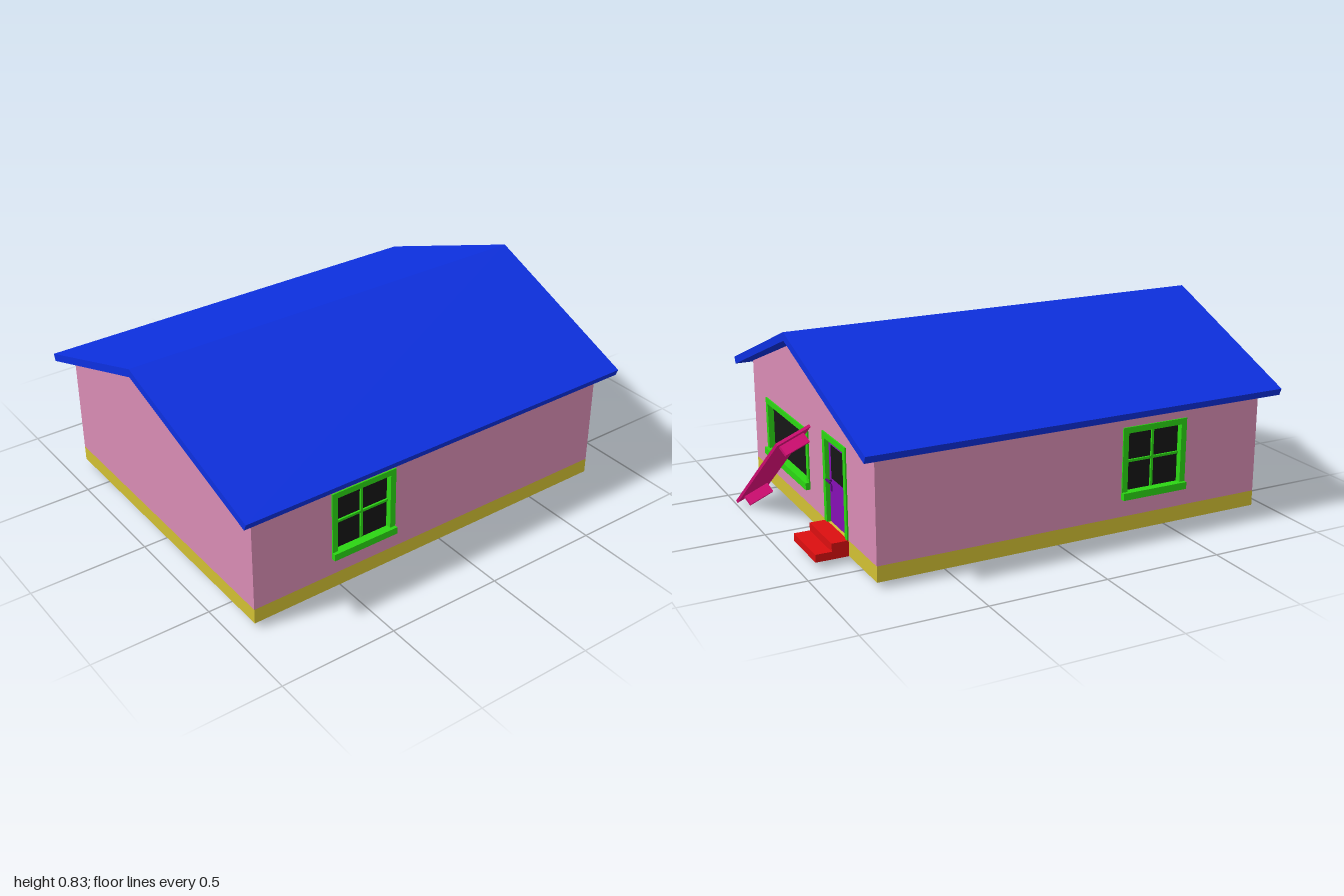
import * as THREE from 'three';

const mat = (color) => new THREE.MeshStandardMaterial({ color, flatShading: true });
const M = {
  wall: mat(0xd98cb4), base: mat(0xd2c033), roof: mat(0x0d30e0), trim: mat(0x2bd513),
  glass: mat(0x161616), door: mat(0x860fb4), handle: mat(0x5c0c80), step: mat(0xdb0f10), bench: mat(0xe60f7e),
};
const HALF_L = 0.855, HALF_D = 0.685, THICK = 0.04;
const BASE_TOP = 0.085, EAVE = 0.533, APEX = 0.79;

function add(parent, name, geometry, material) {
  const mesh = new THREE.Mesh(geometry, material);
  mesh.name = name;
  parent.add(mesh);
  return mesh;
}

// Box given by its lower and upper corners
function box(parent, name, material, [x0, y0, z0], [x1, y1, z1]) {
  const mesh = add(parent, name, new THREE.BoxGeometry(x1 - x0, y1 - y0, z1 - z0), material);
  mesh.position.set((x0 + x1) / 2, (y0 + y1) / 2, (z0 + z1) / 2);
  return mesh;
}

const outline = (points) => new THREE.Shape(points.map(([x, y]) => new THREE.Vector2(x, y)));
const rect = (x0, y0, x1, y1) => outline([[x0, y0], [x1, y0], [x1, y1], [x0, y1]]);

// Flat plate between depths z0 and z1, with optional holes
function plate(parent, name, material, shape, holes, z0, z1) {
  shape.holes.push(...holes);
  const geometry = new THREE.ExtrudeGeometry(shape, { depth: z1 - z0, bevelEnabled: false });
  geometry.translate(0, 0, z0);
  return add(parent, name, geometry, material);
}

// One side of the house: local z = 0 is the outer wall surface
function side(house, name, distance, angle) {
  const group = new THREE.Group();
  group.name = name;
  group.rotation.y = angle;
  group.position.set(Math.sin(angle) * distance, 0, Math.cos(angle) * distance);
  house.add(group);
  return group;
}

// Framed window with glass, sill and optional glazing bars
function addWindow(parent, x0, y0, x1, y1, bars) {
  const f = 0.025, group = new THREE.Group();
  group.name = 'window';
  parent.add(group);
  plate(group, 'windowFrame', M.trim, rect(x0, y0, x1, y1), [rect(x0 + f, y0 + f, x1 - f, y1 - f)], -THICK, 0.006);
  box(group, 'windowGlass', M.glass, [x0 + f, y0 + f, -0.035], [x1 - f, y1 - f, -0.02]);
  box(group, 'windowSill', M.trim, [x0, y0, -0.015], [x1, y0 + 0.03, 0.02]);
  if (bars) {
    const cx = (x0 + x1) / 2, cy = (y0 + f + y1 - f) / 2 + 0.002, b = 0.005;
    box(group, 'verticalBar', M.trim, [cx - b, y0 + f, -0.022], [cx + b, y1 - f, -0.012]);
    box(group, 'horizontalBar', M.trim, [x0 + f, cy - b, -0.022], [x1 - f, cy + b, -0.012]);
  }
}

function addLongWalls(house) {
  for (const s of [1, -1]) {
    const wall = side(house, s > 0 ? 'frontSide' : 'backSide', HALF_D, s > 0 ? 0 : Math.PI);
    const a = s * -0.5, b = s * -0.2;
    const win = [Math.min(a, b), 0.16, Math.max(a, b), 0.46];
    const len = HALF_L - THICK;
    plate(wall, 'longWall', M.wall, rect(-len, BASE_TOP, len, EAVE), [rect(...win)], -THICK, 0);
    addWindow(wall, ...win, true);
  }
}

function addGables(house) {
  const top = [[HALF_D, BASE_TOP], [HALF_D, EAVE], [0, APEX], [-HALF_D, EAVE], [-HALF_D, BASE_TOP]];
  // Plain end
  const plain = side(house, 'plainEnd', HALF_L, -Math.PI / 2);
  plate(plain, 'gableWall', M.wall, outline(top), [], -THICK, 0);

  // Entrance end, notched for the door
  const end = side(house, 'entranceEnd', HALF_L, Math.PI / 2);
  const win = [-0.515, 0.155, 0, 0.41];
  const d0 = 0.17, d1 = 0.41, dTop = 0.46, f = 0.025;
  const notch = [[d0, BASE_TOP], [d0, dTop], [d1, dTop], [d1, BASE_TOP]];
  plate(end, 'gableWall', M.wall, outline([...top, ...notch]), [rect(...win)], -THICK, 0);
  addWindow(end, ...win, false);

  // Door with frame, pane, handle and lock
  plate(end, 'doorFrame', M.trim, outline([
    [d0, BASE_TOP], [d0 + f, BASE_TOP], [d0 + f, dTop - f], [d1 - f, dTop - f],
    [d1 - f, BASE_TOP], [d1, BASE_TOP], [d1, dTop], [d0, dTop]]), [], -THICK, 0.006);
  box(end, 'door', M.door, [d0 + f, BASE_TOP, -0.035], [d1 - f, dTop - f, -0.012]);
  box(end, 'doorGlass', M.glass, [0.22, 0.275, -0.02], [0.36, 0.412, -0.01]);
  box(end, 'doorHandle', M.handle, [0.195, 0.26, 0], [0.24, 0.268, 0.007]);
  box(end, 'handleStem', M.handle, [0.212, 0.26, -0.014], [0.22, 0.268, 0.002]);
  box(end, 'doorLock', M.handle, [0.212, 0.22, -0.014], [0.22, 0.25, -0.008]);

  // Two entrance steps
  box(end, 'lowerStep', M.step, [d0, 0.02, 0], [d1, 0.052, 0.137]);
  box(end, 'upperStep', M.step, [d0, 0.052, 0], [d1, BASE_TOP, 0.07]);
}

// Bent roof slab whose ends taper in from the ridge to the eaves
function addRoof(house) {
  const shape = outline([[0, 0.825], [-0.755, 0.541], [-0.743, 0.512], [0, APEX], [0.743, 0.512], [0.755, 0.541]]);
  const geometry = new THREE.ExtrudeGeometry(shape, { depth: 2, bevelEnabled: false });
  geometry.translate(0, 0, -1).rotateY(Math.PI / 2);
  const p = geometry.attributes.position;
  for (let i = 0; i < p.count; i++) {
    p.setX(i, Math.sign(p.getX(i)) * (0.9425 - 0.033 * Math.abs(p.getZ(i))));
  }
  geometry.computeVertexNormals();
  add(house, 'roof', geometry, M.roof);
}

// Bench tipped against the wall: x across, y out of the seat, z along
function addBench(root) {
  const bench = new THREE.Group();
  bench.name = 'tippedBench';
  const along = new THREE.Vector3(0.034, -0.395, 0.47).normalize();
  const across = new THREE.Vector3(0.157, -0.04, -0.05);
  const up = new THREE.Vector3().crossVectors(along, across).normalize();
  across.crossVectors(up, along);
  bench.quaternion.setFromRotationMatrix(new THREE.Matrix4().makeBasis(across, up, along));
  bench.position.set(0.807, 0.446, -0.035);
  root.add(bench);
  const W = 0.17, L = 0.615;
  box(bench, 'benchSeat', M.bench, [0, -0.012, 0], [W, 0, L]);
  for (const z of [0.04, L - 0.04]) {
    box(bench, 'benchLeg', M.bench, [0.025, -0.056, z - 0.008], [W - 0.025, -0.012, z + 0.008]);
  }
}

export function createModel() {
  const root = new THREE.Group();
  root.name = 'house';
  const house = new THREE.Group();
  house.name = 'building';
  house.position.x = -0.056;
  root.add(house);
  box(house, 'foundation', M.base, [-HALF_L, 0.02, -HALF_D], [HALF_L, BASE_TOP, HALF_D]);
  addLongWalls(house);
  addGables(house);
  addRoof(house);
  addBench(root);
  return root;
}
